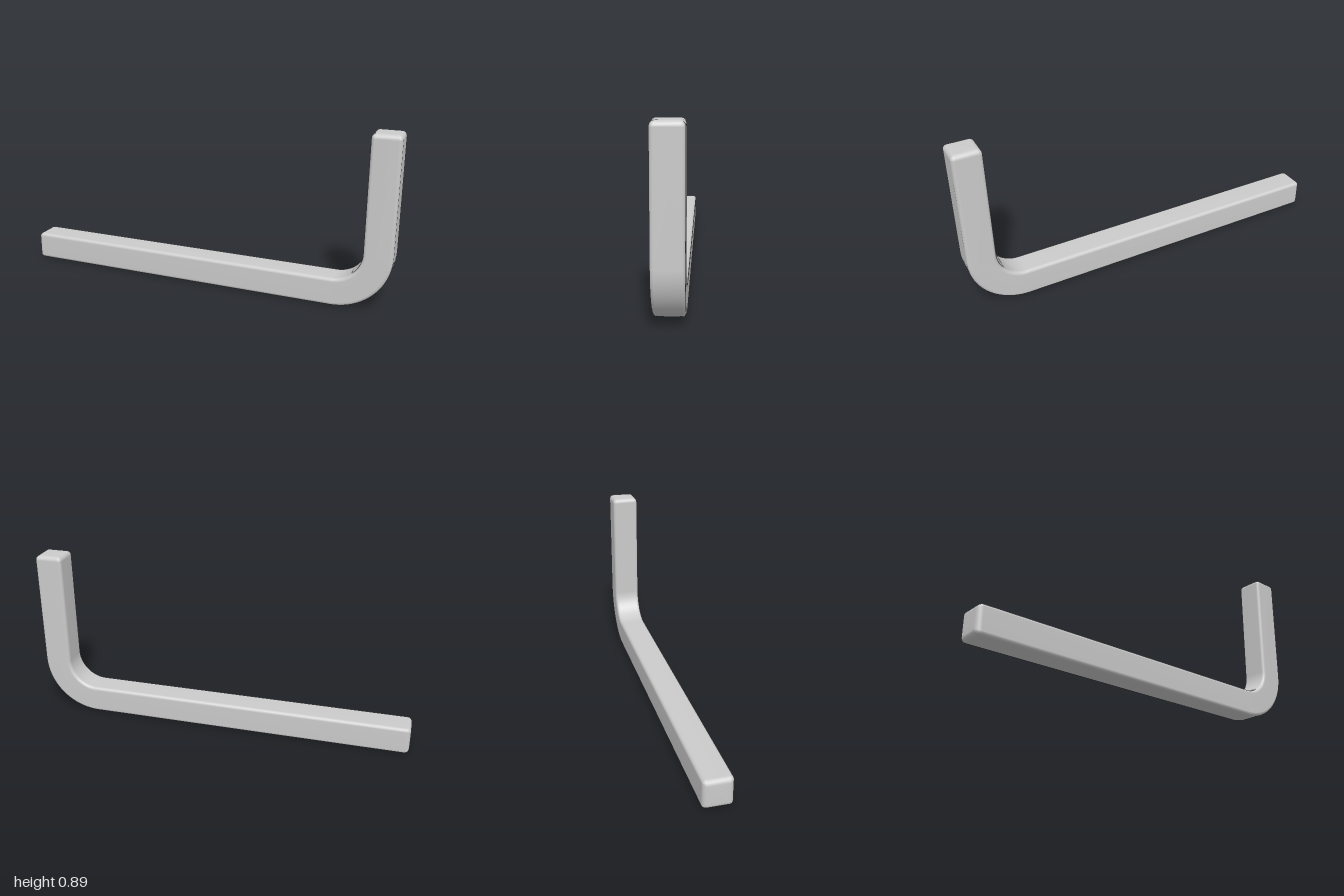
import * as THREE from 'three';

const SIZE = 0.146, HALF = SIZE / 2; // square bar section
const EDGE = 0.018;                  // rounding of the long edges
const CAP = 0.025;                   // rounding of the two ends
const TOP = 0.888;
const BEND = 0.145 + HALF;           // centreline radius of the bend
const CORNER_STEPS = 4, CAP_STEPS = 5, BEND_STEPS = 20;

// Rounded square, counter-clockwise, as [across, z] pairs
function section(inset) {
  const points = [];
  const flat = HALF - EDGE - inset * 0.4;
  const radius = EDGE - inset * 0.6;
  for (let c = 0; c < 4; c++) {
    const mid = Math.PI / 4 + c * Math.PI / 2;
    for (let s = 0; s <= CORNER_STEPS; s++) {
      const t = c * Math.PI / 2 + (s / CORNER_STEPS) * Math.PI / 2;
      points.push([
        Math.sign(Math.cos(mid)) * flat + Math.cos(t) * radius,
        Math.sign(Math.sin(mid)) * flat + Math.sin(t) * radius,
      ]);
    }
  }
  return points;
}

// Stations along the centreline: position, heading and inset of the section
function stations() {
  const list = [];
  const cx = 1 - HALF - BEND, cy = HALF + BEND;
  for (let i = 0; i <= CAP_STEPS; i++) {
    const t = (i / CAP_STEPS) * Math.PI / 2;
    list.push({ x: -1 + CAP * (1 - Math.sin(t)) * 1, y: HALF, a: 0, inset: CAP * (1 - Math.cos(t)) });
  }
  list.reverse(); // from the end face inwards
  for (let i = 0; i <= BEND_STEPS; i++) {
    const a = (i / BEND_STEPS) * Math.PI / 2;
    list.push({ x: cx + BEND * Math.sin(a), y: cy - BEND * Math.cos(a), a, inset: 0 });
  }
  for (let i = 0; i <= CAP_STEPS; i++) {
    const t = (i / CAP_STEPS) * Math.PI / 2;
    list.push({ x: 1 - HALF, y: TOP - CAP * (1 - Math.sin(t)), a: Math.PI / 2, inset: CAP * (1 - Math.cos(t)) });
  }
  return list;
}

// Sweeps the section along the stations and closes both ends
function bentBarGeometry() {
  const positions = [], index = [];
  const path = stations();
  const n = section(0).length;
  for (const { x, y, a, inset } of path) {
    for (const [u, z] of section(inset)) {
      positions.push(x - Math.sin(a) * u, y + Math.cos(a) * u, z);
    }
  }
  for (let i = 0; i < path.length - 1; i++) {
    for (let j = 0; j < n; j++) {
      const k = (j + 1) % n;
      const a = i * n + j, b = i * n + k, c = a + n, d = b + n;
      index.push(a, b, d, a, d, c);
    }
  }
  const last = path[path.length - 1];
  const start = positions.length / 3, end = start + 1;
  positions.push(path[0].x, path[0].y, 0, last.x, last.y, 0);
  const ring = (path.length - 1) * n;
  for (let j = 0; j < n; j++) {
    const k = (j + 1) % n;
    index.push(start, k, j, end, ring + j, ring + k);
  }
  const geometry = new THREE.BufferGeometry();
  geometry.setAttribute('position', new THREE.Float32BufferAttribute(positions, 3));
  geometry.setIndex(index);
  geometry.computeVertexNormals();
  return geometry;
}

export function createModel() {
  const group = new THREE.Group();
  group.name = 'bentBar';
  const bar = new THREE.Mesh(bentBarGeometry(), new THREE.MeshStandardMaterial({ color: 0xcccccc }));
  bar.name = 'squareBar';
  group.add(bar);
  return group;
}
